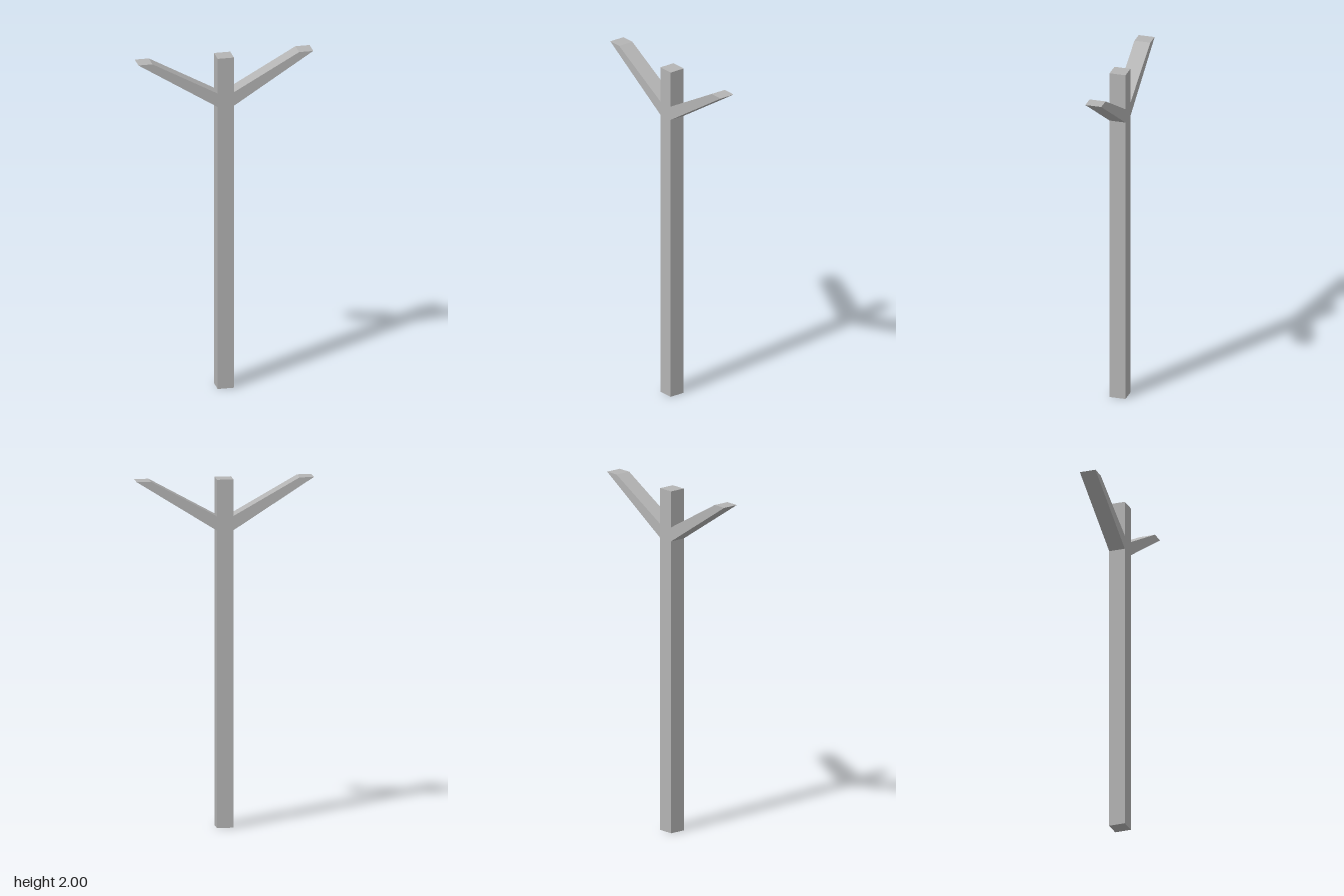
import * as THREE from 'three';

const HALF = 0.047; // half thickness of the square timber
const HEIGHT = 2;

export function createModel() {
  const model = new THREE.Group();
  model.name = 'forkedPost';
  const grey = new THREE.MeshStandardMaterial({ color: 0xb4b4b4 });
  grey.name = 'grey';

  // Extrudes a front outline through the timber's thickness
  const addProfile = (name, points) => {
    const shape = new THREE.Shape(points.map(([x, y]) => new THREE.Vector2(x, y)));
    const geometry = new THREE.ExtrudeGeometry(shape, { depth: HALF * 2, bevelEnabled: false });
    geometry.translate(0, 0, -HALF);
    const mesh = new THREE.Mesh(geometry, grey);
    mesh.name = name;
    model.add(mesh);
  };

  // Upright post
  const post = new THREE.Mesh(new THREE.BoxGeometry(HALF * 2, HEIGHT, HALF * 2), grey);
  post.name = 'post';
  post.position.y = HEIGHT / 2;
  model.add(post);

  // Slanted arms, cut level with the top of the post
  for (const [name, side] of [['leftArm', 1], ['rightArm', -1]]) {
    addProfile(name, [
      [side * HALF, 1.708],
      [side * 0.506, HEIGHT],
      [side * 0.424, HEIGHT],
      [side * HALF, 1.79],
    ]);
  }
  return model;
}
